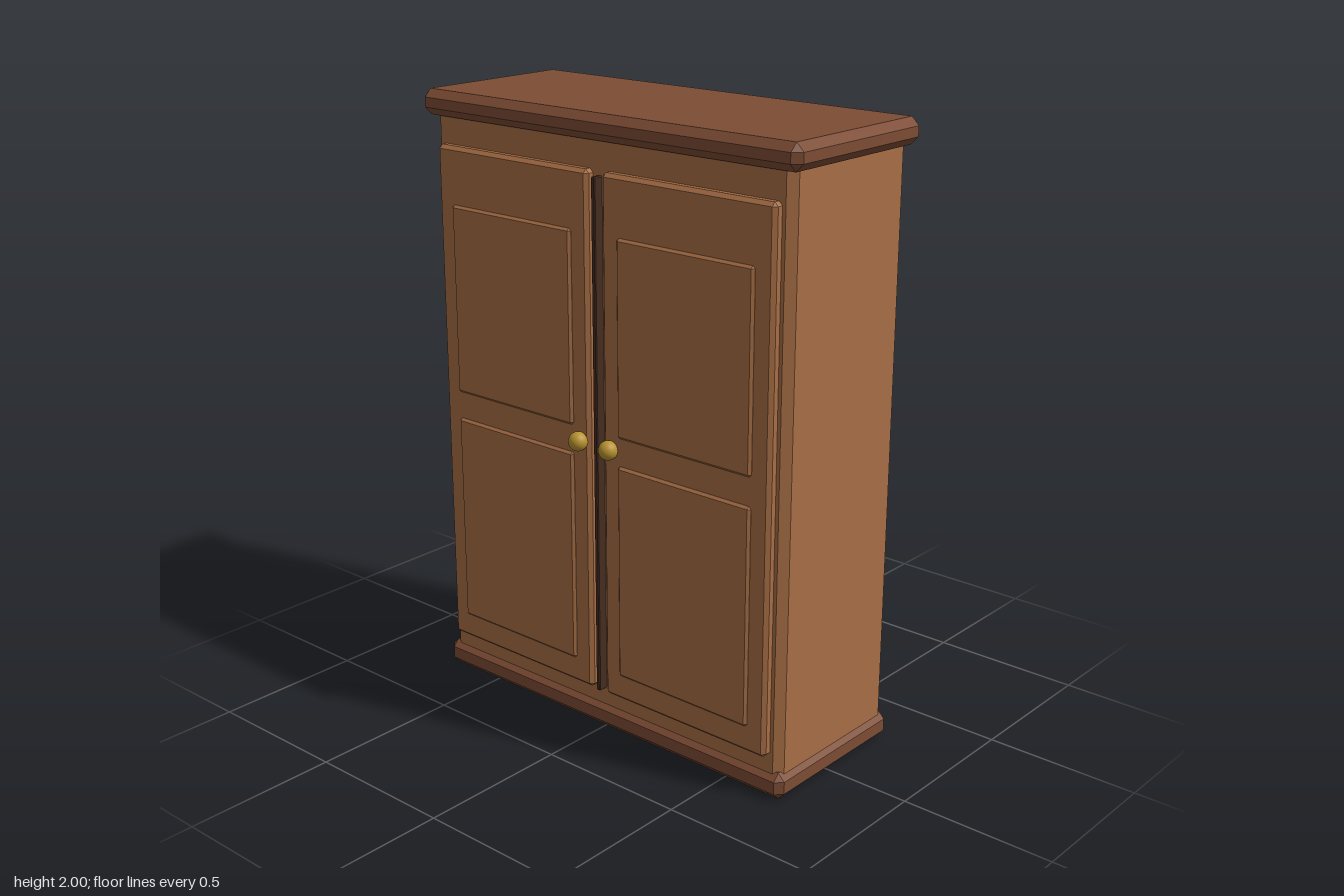
import * as THREE from 'three';
import { ConvexGeometry } from 'three/addons/geometries/ConvexGeometry.js';

const mat = (name, color) => {
  const m = new THREE.MeshStandardMaterial({ color });
  m.name = name;
  return m;
};

// Box with every edge chamfered by c, given by its extents
function chamferBox([x0, x1], [y0, y1], [z0, z1], c) {
  const half = [(x1 - x0) / 2, (y1 - y0) / 2, (z1 - z0) / 2];
  const points = [];
  for (const sx of [-1, 1]) for (const sy of [-1, 1]) for (const sz of [-1, 1]) {
    for (let axis = 0; axis < 3; axis++) {
      const p = half.map((h, i) => (i === axis ? h : h - c));
      points.push(new THREE.Vector3(p[0] * sx, p[1] * sy, p[2] * sz));
    }
  }
  return new ConvexGeometry(points).translate((x0 + x1) / 2, (y0 + y1) / 2, (z0 + z1) / 2);
}

export function createModel() {
  const wood = mat('warm wood', 0xa86e45);
  const trim = mat('dark wood trim', 0x7d4c34);
  const gap = mat('shadow brown', 0x452c20);
  const brass = mat('brass', 0xb8922f);

  const model = new THREE.Group();
  model.name = 'wardrobe';
  const add = (parent, name, geometry, material) => {
    const mesh = new THREE.Mesh(geometry, material);
    mesh.name = name;
    parent.add(mesh);
    return mesh;
  };

  // Carcass with plinth and cornice
  add(model, 'body', chamferBox([-0.71, 0.71], [0.04, 1.96], [-0.3, 0.247], 0.025), wood);
  add(model, 'plinth', chamferBox([-0.725, 0.725], [0, 0.087], [-0.31, 0.263], 0.023), trim);
  add(model, 'cornice', chamferBox([-0.745, 0.745], [1.918, 2], [-0.323, 0.278], 0.025), trim);

  // Strip between the doors
  add(model, 'centreStrip', chamferBox([-0.008, 0.008], [0.14, 1.815], [0.23, 0.28], 0.003), gap);

  // Mirrored doors, each with two raised panels and a knob
  for (const [side, s] of [['left', 1], ['right', -1]]) {
    const door = new THREE.Group();
    door.name = side + 'Door';
    model.add(door);
    const spanX = (a, b) => (s > 0 ? [a, b] : [-b, -a]);
    add(door, 'doorLeaf', chamferBox(spanX(0.028, 0.673), [0.138, 1.832], [0.235, 0.277], 0.012), wood);
    add(door, 'upperPanel', chamferBox(spanX(0.093, 0.608), [1.025, 1.647], [0.262, 0.286], 0.008), wood);
    add(door, 'lowerPanel', chamferBox(spanX(0.093, 0.608), [0.225, 0.935], [0.262, 0.286], 0.008), wood);
    add(door, 'knob', new THREE.SphereGeometry(0.031, 24, 16), brass).position.set(s * 0.063, 0.982, 0.291);
  }
  return model;
}
